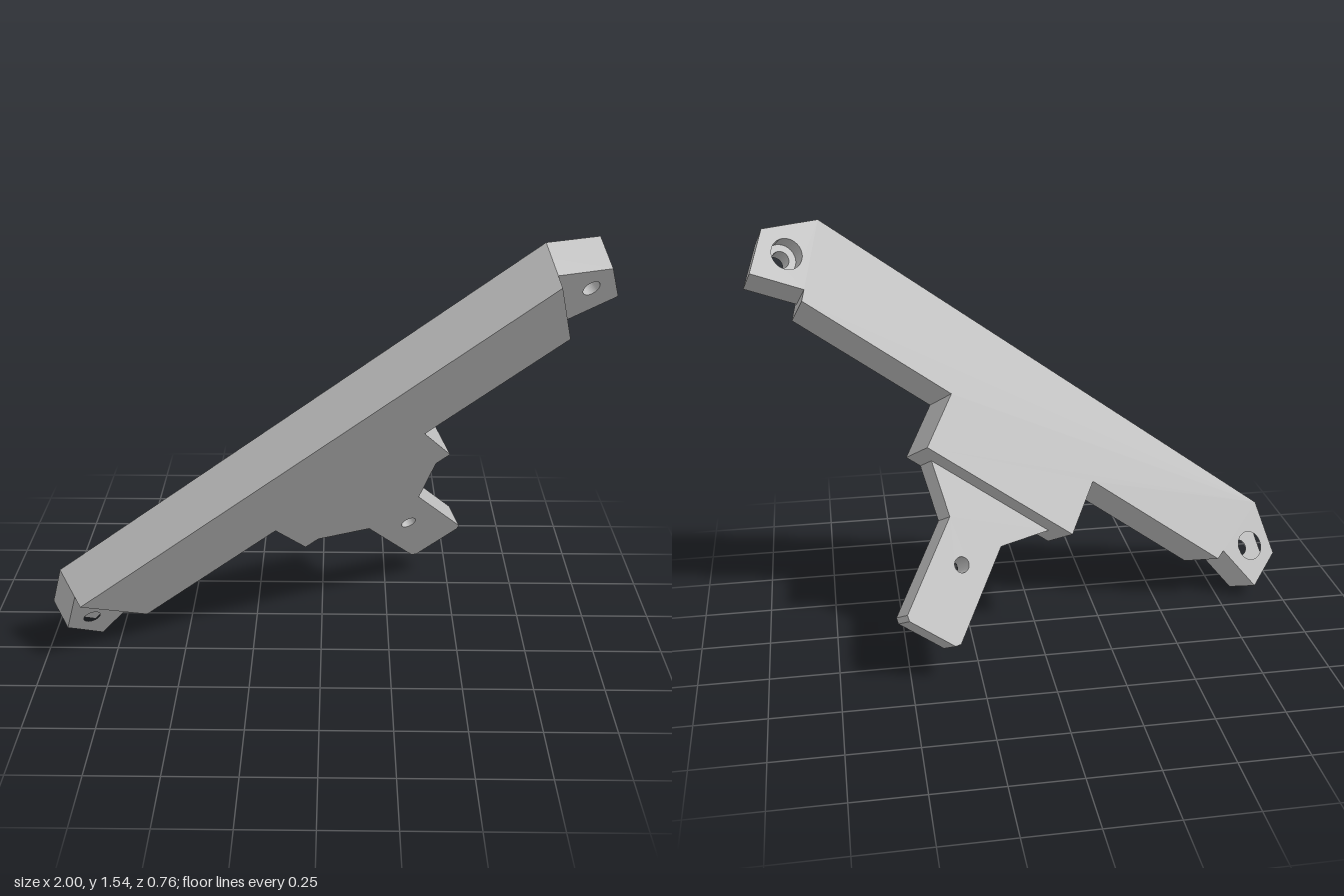
import * as THREE from 'three';

const FRONT = -0.15, BACK = -0.33, ARM_BACK = -0.245;
const TAB_FRONT = -0.198, TAB_MID = -0.265;
const SPLAY = 0.18; // the bar ends lean outward towards the back

// Flat plate from an outline, between two depths, with an optional round hole
function plate(points, front, back, hole) {
  const shape = new THREE.Shape(points.map(([x, y]) => new THREE.Vector2(x, y)));
  if (hole) {
    const path = new THREE.Path();
    path.absarc(hole.x, hole.y, hole.r, 0, Math.PI * 2, true);
    shape.holes.push(path);
  }
  const geo = new THREE.ExtrudeGeometry(shape, { depth: front - back, bevelEnabled: false, curveSegments: 24 });
  geo.translate(0, 0, back);
  return geo;
}

// Slant the end faces, leaving the tongue and the holes straight
function splayEnds(geo, hole) {
  const p = geo.attributes.position;
  for (let i = 0; i < p.count; i++) {
    const x = p.getX(i);
    if (Math.abs(x) < 0.5) continue;
    if (hole && Math.hypot(x - hole.x, p.getY(i) - hole.y) < hole.r + 0.004) continue;
    p.setX(i, x + Math.sign(x) * SPLAY * (FRONT - p.getZ(i)));
  }
  geo.computeVertexNormals();
  return geo;
}

export function createModel() {
  const group = new THREE.Group();
  const body = new THREE.Group();
  body.name = 'bracket';
  group.add(body);
  const grey = new THREE.MeshStandardMaterial({ color: 0xbcbcbc });
  grey.name = 'light grey';

  const add = (name, geo) => {
    const mesh = new THREE.Mesh(geo, grey);
    mesh.name = name;
    body.add(mesh);
  };

  // Long bar with the square tongue below its middle
  add('barWithTongue', splayEnds(plate([
    [-1.002, 0.785], [-0.92, 0.483], [-0.325, 0.483], [-0.325, 0.255],
    [0.325, 0.255], [0.325, 0.483], [0.92, 0.483], [1.002, 0.785],
  ], FRONT, BACK)));

  // Thinner arm, flared where it joins the tongue, with a screw hole
  add('arm', plate([
    [-0.268, 0.256], [-0.114, 0.105], [-0.114, -0.288], [-0.098, -0.304],
    [0.098, -0.304], [0.114, -0.288], [0.114, 0.105], [0.264, 0.256],
  ], FRONT, ARM_BACK, { x: 0, y: -0.03, r: 0.029 }));

  // End tabs with a screw hole, counterbored from the back
  for (const side of [1, -1]) {
    const outline = [
      [0.931, 0.525], [1.119, 0.467], [1.156, 0.635], [1.002, 0.785],
    ].map(([x, y]) => [x * side, y]);
    const name = side > 0 ? 'leftTab' : 'rightTab';
    const small = { x: 1.072 * side, y: 0.606, r: 0.031 };
    const large = { ...small, r: 0.056 };
    add(name + 'Front', splayEnds(plate(outline, TAB_FRONT, TAB_MID, small), small));
    add(name + 'Back', splayEnds(plate(outline, TAB_MID, BACK, large), large));
  }

  // Tilt the whole bracket: along the bar, up across its face, out of its face
  const roll = THREE.MathUtils.degToRad(36.1), tilt = THREE.MathUtils.degToRad(39.2);
  const along = new THREE.Vector3(Math.cos(roll), Math.sin(roll), 0);
  const rise = new THREE.Vector3(-Math.sin(roll), Math.cos(roll), 0);
  const zAxis = new THREE.Vector3(0, 0, 1);
  const up = rise.clone().multiplyScalar(Math.cos(tilt)).addScaledVector(zAxis, Math.sin(tilt));
  const out = along.clone().cross(up);
  body.quaternion.setFromRotationMatrix(new THREE.Matrix4().makeBasis(along, up, out));
  body.position.copy(along).multiplyScalar(0.463);
  return group;
}
